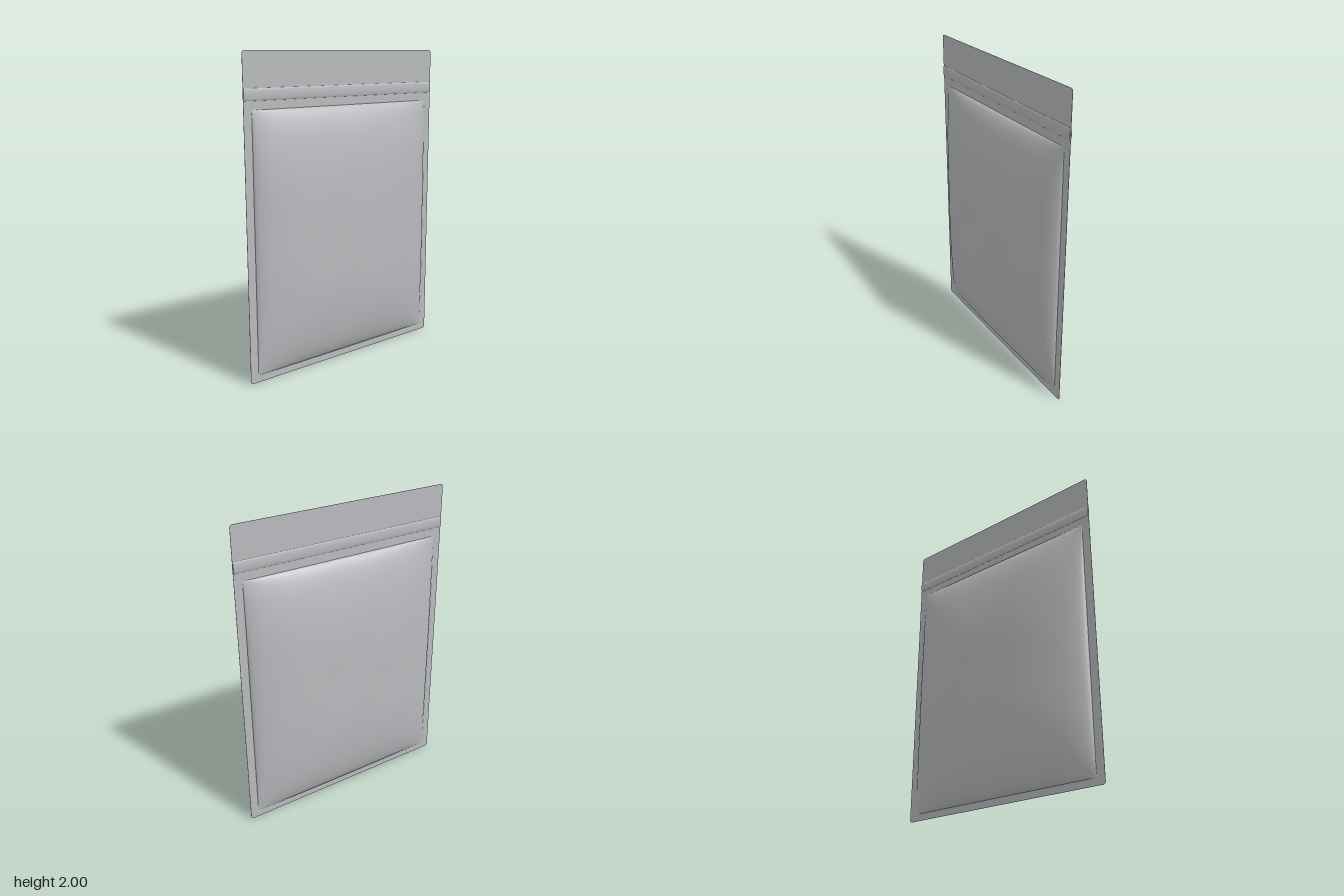
import * as THREE from 'three';

const HALF_W = 0.695, HALF_H = 0.81, MID_Y = 0.855, DEPTH = 0.112, SHEET = 0.002;

// Rounded cross-section: full in the middle, tapering to the seal
const swell = t => Math.pow(Math.max(0, 1 - Math.abs(t) ** 3), 0.6);

// Shallow creases in the film
const creases = (x, y, s) =>
  0.0016 * Math.sin(7 * x + 5 * y + s) * Math.sin(6 * y - 3 * x + 2 * s) +
  0.0010 * Math.sin(13 * x - 9 * y + 3 * s);

// One bulging face of the pouch, with rows packed towards the seals
function bulge(seed) {
  const geo = new THREE.PlaneGeometry(2, 2, 72, 88);
  const p = geo.attributes.position;
  for (let i = 0; i < p.count; i++) {
    const u = Math.sin(p.getX(i) * Math.PI / 2), v = Math.sin(p.getY(i) * Math.PI / 2);
    const x = u * HALF_W, y = v * HALF_H;
    const full = swell(u) * swell(v);
    p.setXYZ(i, x, y, full * (DEPTH + creases(x, y, seed)));
  }
  geo.computeVertexNormals();
  return geo;
}

// Flat sealed sheet with small rounded corners
function sealedSheet() {
  const w = 0.75, h = 2, r = 0.018;
  const s = new THREE.Shape();
  s.moveTo(-w + r, 0);
  s.lineTo(w - r, 0);
  s.absarc(w - r, r, r, -Math.PI / 2, 0);
  s.lineTo(w, h - r);
  s.absarc(w - r, h - r, r, 0, Math.PI / 2);
  s.lineTo(-w + r, h);
  s.absarc(-w + r, h - r, r, Math.PI / 2, Math.PI);
  s.lineTo(-w, r);
  s.absarc(-w + r, r, r, Math.PI, Math.PI * 1.5);
  const geo = new THREE.ExtrudeGeometry(s, { depth: SHEET, bevelEnabled: false, curveSegments: 5 });
  return geo.translate(0, 0, -SHEET / 2);
}

export function createModel() {
  const group = new THREE.Group();
  group.name = 'pouch';
  const film = new THREE.MeshStandardMaterial({ color: 0xb8babd });
  film.name = 'silver film';

  const add = (name, geo) => {
    const mesh = new THREE.Mesh(geo, film);
    mesh.name = name;
    group.add(mesh);
    return mesh;
  };

  add('sealedSheet', sealedSheet());

  // Filled front and back
  add('frontPanel', bulge(0.4)).position.set(0, MID_Y, SHEET / 2);
  const back = add('backPanel', bulge(2.1));
  back.position.set(0, MID_Y, -SHEET / 2);
  back.rotation.y = Math.PI;

  // Press-to-close ridge across the neck, lens-shaped in section
  const zip = new THREE.CylinderGeometry(1, 1, 1.496, 24);
  zip.rotateZ(Math.PI / 2).scale(1, 0.036, 0.007);
  add('zipRidge', zip).position.y = 1.753;

  return group;
}
